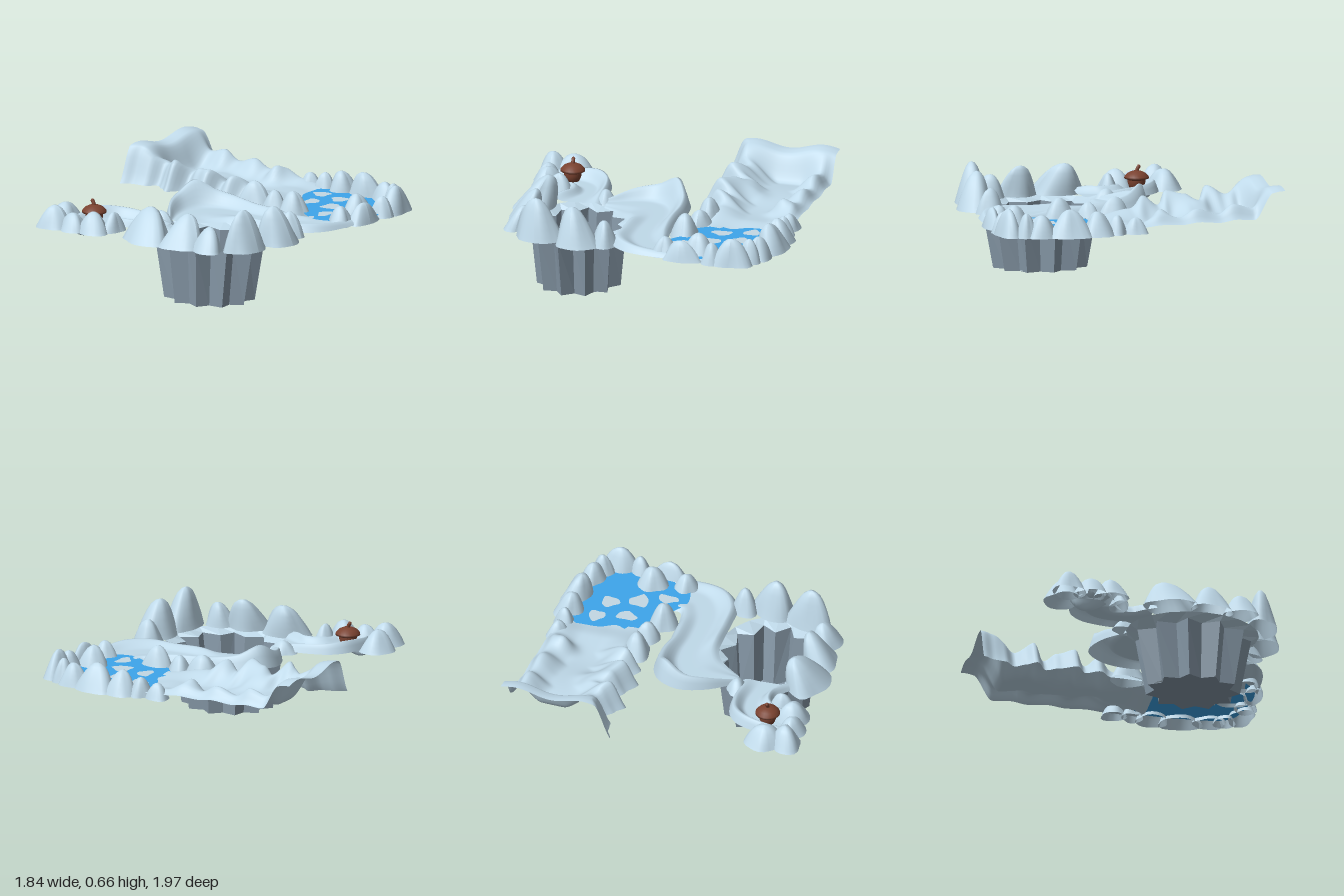
import * as THREE from 'three';

const mat = (color) => new THREE.MeshStandardMaterial({ color, side: THREE.DoubleSide });
const snow = mat(0xc0daea), stone = mat(0x8799a8), water = mat(0x3ea6ec), ice = mat(0xc4d8e4), brown = mat(0x7a4230);
const step = THREE.MathUtils.smoothstep, lerp = THREE.MathUtils.lerp;
const V = (x, y, z) => new THREE.Vector3(x, y, z);

// Sheet through rows of points
function sheet(name, material, rows, flat = false) {
  const w = rows[0].length, index = [];
  for (let i = 0; i < rows.length - 1; i++) for (let j = 0; j < w - 1; j++) {
    const a = i * w + j, b = a + w;
    index.push(a, a + 1, b, b, a + 1, b + 1);
  }
  let g = new THREE.BufferGeometry().setFromPoints(rows.flat());
  g.setIndex(index);
  if (flat) g = g.toNonIndexed();
  g.computeVertexNormals();
  const m = new THREE.Mesh(g, material);
  m.name = name;
  return m;
}

// Smooth lookup in a list of [x, value]
function lookup(list, x) {
  for (let i = 1; i < list.length; i++) {
    const [x0, a] = list[i - 1], [x1, b] = list[i];
    if (x <= x1) return lerp(a, b, step(x, x0, x1));
  }
  return list[list.length - 1][1];
}

// Bell-shaped snow mound standing on y = 0.4, its tip leaning by (lx, lz)
const profile = [[1.08, 0], [1, 0.12], [0.89, 0.3], [0.75, 0.5], [0.59, 0.7], [0.41, 0.87], [0.2, 0.97], [0, 1]];
function mound([x, z, rx, rz, top, lx = 0, lz = 0]) {
  const s = x * 17 + z * 29, rows = [];
  for (const [r, h] of profile) {
    const row = [];
    for (let j = 0; j <= 22; j++) {
      const a = (-j / 22) * Math.PI * 2;
      const k = r * (1 + 0.08 * Math.sin(2 * a + s) + 0.07 * Math.sin(3 * a + 2 * s + 2 * h) + 0.04 * Math.sin(5 * a + s));
      row.push(V(x + lx * h + rx * k * Math.cos(a), 0.4 + (top - 0.4) * h, z + lz * h + rz * k * Math.sin(a)));
    }
    rows.push(row);
  }
  return sheet('snowMound', snow, rows);
}

// Banked channel between two edge lines; each station is [ax, az, crestA, bx, bz, crestB]
function channel(name, stations, floor) {
  const curve = (o) => new THREE.CatmullRomCurve3(stations.map((s) => V(s[o], s[o + 2], s[o + 1])));
  const A = curve(0), B = curve(3), rows = [];
  for (let i = 0; i <= 48; i++) {
    const a = A.getPoint(i / 48), b = B.getPoint(i / 48), row = [];
    for (let j = 0; j <= 24; j++) {
      const t = j / 24, side = t < 0.5 ? a : b, d = Math.min(t, 1 - t);
      const y = d < 0.1 ? lerp(0.4, side.y, step(d, -0.04, 0.1)) : lerp(side.y, floor, step(d, 0.1, 0.36));
      row.push(V(lerp(a.x, b.x, t), y, lerp(a.z, b.z, t)));
    }
    rows.push(row);
  }
  return sheet(name, snow, rows);
}

// Straight start valley with a raised end and a ragged front bank
const frontEdge = [[-0.92, -0.16], [-0.84, -0.2], [-0.77, -0.21], [-0.7, -0.27], [-0.64, -0.23], [-0.57, -0.18], [-0.5, -0.28],
  [-0.42, -0.24], [-0.31, -0.19], [-0.25, -0.27], [-0.16, -0.23], [-0.08, -0.3], [0.25, -0.32]];
const frontCrest = [[-0.92, 0.62], [-0.74, 0.56], [-0.68, 0.54], [-0.58, 0.59], [-0.5, 0.5], [-0.42, 0.55], [-0.31, 0.57],
  [-0.24, 0.49], [-0.15, 0.55], [-0.05, 0.48], [0.25, 0.43]];
const backCrest = [[-0.92, 0.55], [-0.72, 0.52], [-0.6, 0.55], [-0.5, 0.49], [-0.36, 0.53], [-0.25, 0.48], [-0.12, 0.5], [0.0, 0.46], [0.25, 0.42]];
function valley() {
  const rows = [];
  const bump = (x, z, cx, cz, r, h) => h * Math.exp(-((x - cx) ** 2 + (z - cz) ** 2) / (r * r));
  for (let i = 0; i <= 80; i++) {
    const x = lerp(-0.92, 0.24, i / 80), row = [];
    const end = 1 - step(x, -0.84, -0.72);
    for (let j = 0; j <= 44; j++) {
      const t = j / 44, z = lerp(-0.89, lookup(frontEdge, x), t);
      const floor = 0.43 + 0.012 * Math.sin(x * 9) * Math.sin(z * 8) - 0.025 * step(x, 0.05, 0.22);
      const crest = lookup(backCrest, x), rim = lerp(0.43, crest, 0.25);
      let y = t < 0.1 ? lerp(rim, crest, step(t, 0, 0.1))
        : t < 0.45 ? lerp(crest, floor, step(t, 0.1, 0.32))
          : lerp(floor, lookup(frontCrest, x), step(t, 0.54, 0.85));
      y += bump(x, z, -0.14, -0.74, 0.06, 0.07) + bump(x, z, -0.4, -0.5, 0.07, 0.03) + bump(x, z, -0.5, -0.45, 0.07, 0.03);
      y = lerp(y, 0.625 + 0.02 * Math.sin(z * 14) - 0.015 * step(x, -0.9, -0.8), end);
      if (t > 0.85) y = lerp(y, 0.4, step(t, 0.85, 1.03) * 1.03);
      row.push(V(x, Math.max(y, 0.4), z));
    }
    rows.push(row);
  }
  return sheet('startValley', snow, rows);
}

// Flat smooth-edged patch lying at height y
function patch(name, material, pts, y) {
  const shape = new THREE.Shape();
  shape.setFromPoints(new THREE.SplineCurve([...pts, pts[0]].map(([x, z]) => new THREE.Vector2(x, -z))).getPoints(pts.length * 4));
  const m = new THREE.Mesh(new THREE.ShapeGeometry(shape).rotateX(-Math.PI / 2), material);
  m.position.y = y;
  m.name = name;
  return m;
}

// Star-shaped pit with tapered walls, floor, snow collar and floor stars
function pit() {
  const g = new THREE.Group(), n = 22;
  g.name = 'pit';
  const ring = (rx, rz, inner, y) => Array.from({ length: n + 1 }, (_, j) => {
    const a = (-j / n) * Math.PI * 2 + 0.1, k = j % 2 ? inner : 1;
    return V(0.29 + rx * k * Math.cos(a), y, 0.44 + rz * k * Math.sin(a));
  });
  const top = ring(0.37, 0.3, 0.77, 0.37), base = ring(0.3, 0.265, 0.8, 0);
  g.add(sheet('pitWall', stone, [base, top], true));
  g.add(sheet('pitFloor', stone, [base, base.map(() => V(0.29, 0, 0.44))], true));
  g.add(sheet('pitCollar', snow, [ring(0.42, 0.33, 1, 0.4), top], true));
  for (const [x, z, turn] of [[0.24, 0.34, 0.2], [0.43, 0.31, 0.9], [0.1, 0.53, 0.5], [0.4, 0.57, 0]]) {
    const pts = Array.from({ length: 10 }, (_, i) => {
      const a = (i / 10) * Math.PI * 2 + turn, r = i % 2 ? 0.036 : 0.066;
      return new THREE.Vector2(r * Math.cos(a), r * Math.sin(a));
    });
    const star = new THREE.Mesh(new THREE.ShapeGeometry(new THREE.Shape(pts)).rotateX(-Math.PI / 2), ice);
    star.position.set(x, 0.006, z);
    star.name = 'floorStar';
    g.add(star);
  }
  return g;
}

// Acorn with a wide cap and a bent stem
function acorn() {
  const g = new THREE.Group();
  g.name = 'acorn';
  const lathe = (name, pts) => {
    const m = new THREE.Mesh(new THREE.LatheGeometry(pts.map(([r, y]) => new THREE.Vector2(r, y)), 24), brown);
    m.name = name;
    g.add(m);
  };
  lathe('acornBody', [[0, 0.42], [0.042, 0.42], [0.05, 0.44], [0.056, 0.46], [0.055, 0.49]]);
  lathe('acornCap', [[0, 0.475], [0.055, 0.475], [0.078, 0.485], [0.076, 0.497], [0.058, 0.517], [0.03, 0.53], [0, 0.535]]);
  const path = new THREE.CatmullRomCurve3([V(0, 0.52, 0), V(-0.004, 0.54, 0), V(-0.014, 0.558, 0)]);
  const stem = new THREE.Mesh(new THREE.TubeGeometry(path, 6, 0.012, 8), brown);
  const tip = new THREE.Mesh(new THREE.SphereGeometry(0.012, 8, 6), brown);
  tip.position.set(-0.014, 0.558, 0);
  stem.name = 'acornStem';
  tip.name = 'stemTip';
  g.add(stem, tip);
  g.position.set(-0.42, 0, 0.71);
  return g;
}

export function createModel() {
  const model = new THREE.Group();
  model.add(valley(), pit(), acorn());

  // Curved channel from the pond into the pit
  model.add(channel('curvedChannel', [
    [0.52, -0.3, 0.42, 0.87, -0.37, 0.43], [0.52, -0.22, 0.43, 0.85, -0.1, 0.45], [0.42, -0.19, 0.44, 0.8, 0.02, 0.46],
    [0.3, -0.18, 0.46, 0.68, 0.11, 0.46], [0.15, -0.17, 0.47, 0.5, 0.13, 0.45], [0, -0.18, 0.49, 0.32, 0.14, 0.45],
    [-0.15, -0.15, 0.52, 0.22, 0.15, 0.43], [-0.26, -0.07, 0.58, 0.14, 0.19, 0.42], [-0.29, 0.06, 0.52, 0.1, 0.23, 0.41],
    [-0.23, 0.22, 0.49, 0.06, 0.28, 0.41], [-0.1, 0.37, 0.44, 0, 0.37, 0.41]], 0.42));

  // Short channel from the pit to the acorn
  model.add(channel('acornChannel', [
    [-0.03, 0.4, 0.42, 0, 0.76, 0.44], [-0.15, 0.41, 0.45, -0.08, 0.7, 0.46], [-0.3, 0.42, 0.47, -0.13, 0.66, 0.46],
    [-0.43, 0.46, 0.48, -0.19, 0.66, 0.46], [-0.51, 0.54, 0.49, -0.23, 0.68, 0.46], [-0.54, 0.66, 0.48, -0.26, 0.72, 0.45],
    [-0.53, 0.8, 0.46, -0.28, 0.8, 0.45], [-0.47, 0.88, 0.45, -0.34, 0.87, 0.45]], 0.415));
  const hollow = mound([-0.44, 0.77, 0.1, 0.05, 0.34, -0.03]);
  hollow.name = 'acornHollow';
  model.add(hollow);

  // Pond with ice floes
  model.add(patch('pond', water, [[0.17, -0.73], [0.2, -0.84], [0.5, -0.86], [0.77, -0.82], [0.85, -0.62], [0.86, -0.4],
    [0.76, -0.25], [0.62, -0.2], [0.52, -0.24], [0.42, -0.3], [0.2, -0.34], [0.2, -0.45], [0.23, -0.54], [0.18, -0.63]], 0.425));
  for (const [x, z, rx, rz] of [[0.28, -0.69, 0.06, 0.055], [0.45, -0.66, 0.06, 0.06], [0.34, -0.51, 0.05, 0.07], [0.52, -0.49, 0.07, 0.065], [0.6, -0.33, 0.045, 0.07]]) {
    const pts = Array.from({ length: 8 }, (_, i) => {
      const a = (i / 8) * Math.PI * 2, k = 0.95 + 0.2 * Math.sin(3 * a + x * 40);
      return [x + rx * k * Math.cos(a), z - rz * k * Math.sin(a)];
    });
    model.add(patch('iceFloe', ice, pts, 0.431));
  }

  // Snow mounds: x, z, radii, top, lean
  const mounds = [
    // around the pond
    [0.05, -0.86, 0.07, 0.07, 0.5], [0.17, -0.86, 0.065, 0.065, 0.52], [0.3, -0.88, 0.1, 0.085, 0.55, 0, 0.02], [0.48, -0.89, 0.12, 0.095, 0.57, 0, 0.03],
    [0.66, -0.85, 0.1, 0.075, 0.54], [0.75, -0.82, 0.06, 0.08, 0.55], [0.84, -0.73, 0.075, 0.12, 0.57], [0.84, -0.6, 0.07, 0.07, 0.53],
    [0.73, -0.48, 0.1, 0.095, 0.55], [0.85, -0.4, 0.055, 0.12, 0.53], [0.77, -0.27, 0.085, 0.075, 0.52],
    [0.38, -0.28, 0.105, 0.08, 0.55], [0.2, -0.32, 0.075, 0.08, 0.52], [0.03, -0.33, 0.11, 0.08, 0.55],
    // around the pit
    [0.7, 0.15, 0.09, 0.075, 0.56], [0.75, 0.32, 0.11, 0.13, 0.64, -0.02, 0.03], [0.7, 0.58, 0.095, 0.14, 0.66, -0.01, 0.02], [0.53, 0.76, 0.1, 0.085, 0.55, 0, -0.03],
    [0.34, 0.79, 0.13, 0.095, 0.6, 0, -0.08], [0.08, 0.8, 0.16, 0.115, 0.6, -0.03, -0.08], [-0.13, 0.4, 0.08, 0.06, 0.48],
    // around the acorn
    [-0.61, 0.76, 0.105, 0.12, 0.53], [-0.59, 0.89, 0.1, 0.095, 0.54], [-0.45, 0.88, 0.1, 0.075, 0.51], [-0.32, 0.84, 0.1, 0.1, 0.53], [-0.24, 0.74, 0.06, 0.08, 0.52],
  ];
  mounds.forEach((m) => model.add(mound(m)));
  return model;
}
